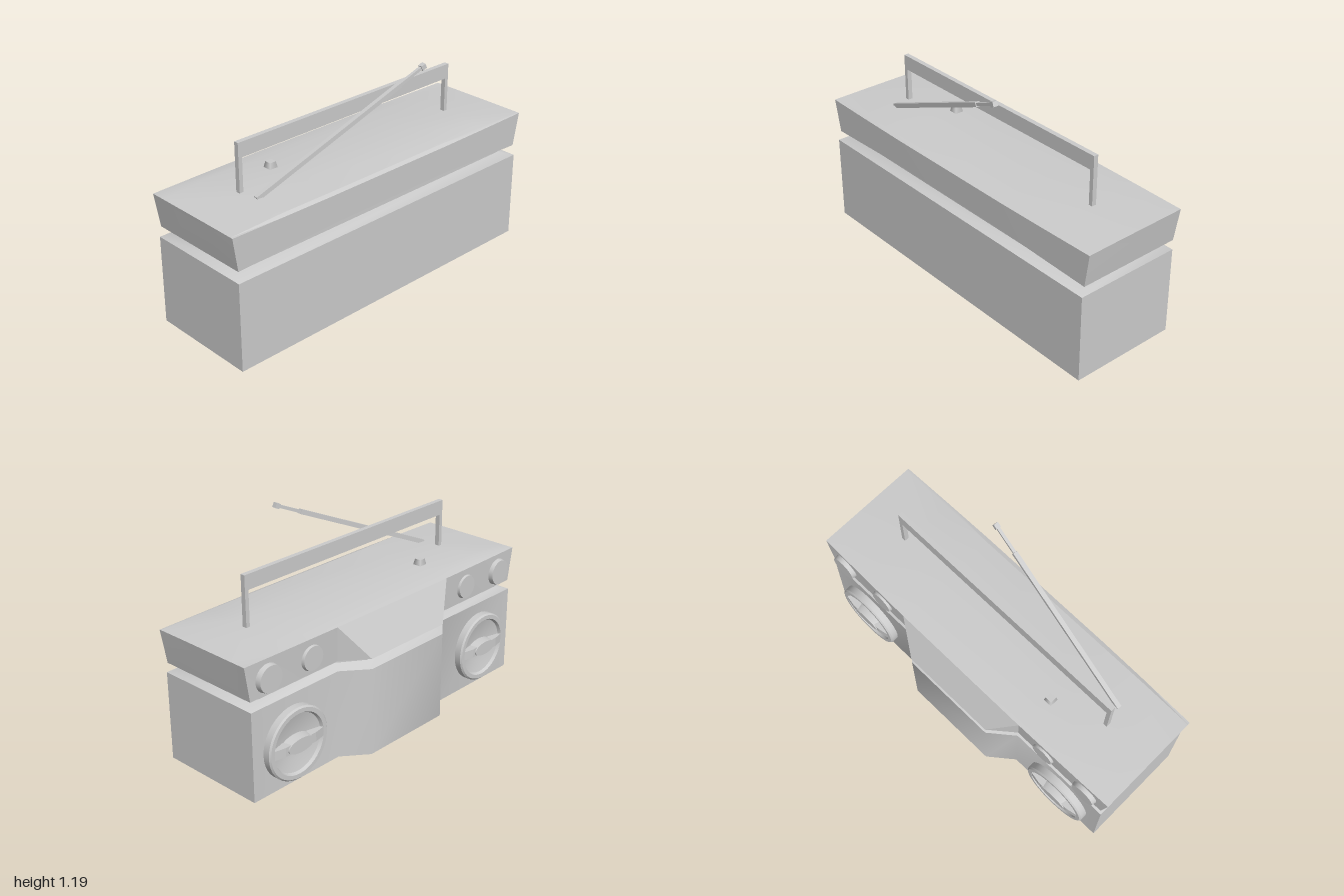
import * as THREE from 'three';
import { toCreasedNormals } from 'three/addons/utils/BufferGeometryUtils.js';
import { ConvexGeometry } from 'three/addons/geometries/ConvexGeometry.js';

const material = new THREE.MeshStandardMaterial({ color: 0xcccccc });

function add(parent, name, geometry, x = 0, y = 0, z = 0) {
  const mesh = new THREE.Mesh(geometry, material);
  mesh.name = name;
  mesh.position.set(x, y, z);
  parent.add(mesh);
  return mesh;
}

// Joins equal-length closed rings of [x, y, z] and caps both ends
function loft(rings, crease) {
  const n = rings[0].length, last = rings.length - 1;
  const points = [], index = [];
  rings.forEach(r => r.forEach(p => points.push(...p)));
  for (let i = 0; i < last; i++) {
    for (let j = 0; j < n; j++) {
      const a = i * n + j, b = i * n + (j + 1) % n;
      index.push(a, b, b + n, a, b + n, a + n);
    }
  }
  for (const i of [0, last]) {
    const centre = points.length / 3;
    points.push(...[0, 1, 2].map(k => rings[i].reduce((s, p) => s + p[k], 0) / n));
    for (let j = 0; j < n; j++) {
      const a = i * n + j, b = i * n + (j + 1) % n;
      index.push(centre, ...(i === 0 ? [b, a] : [a, b]));
    }
  }
  const g = new THREE.BufferGeometry();
  g.setAttribute('position', new THREE.Float32BufferAttribute(points, 3));
  g.setIndex(index);
  return toCreasedNormals(g, crease);
}

// Horizontal outline of the cabinet with its central bulge on the -z side
function outline(y, left, right, front, back, bulge, wide, narrow) {
  return [
    [left, y, front], [left, y, back], [wide, y, back], [narrow, y, bulge],
    [-narrow, y, bulge], [-wide, y, back], [right, y, back], [right, y, front],
  ];
}

// Cross-section of the upper deck at one x
function deckSection([x, bottomFront, top, bow]) {
  const xb = Math.abs(x) === 1 ? x * 0.97 : x;
  return [
    [xb, bottomFront, 0.338 + bow], [xb, 0.535, -0.248],
    [x, 0.722, -0.25 - bow], [x, top, -0.17], [x, top, 0.14],
    [x, (top + 0.72) / 2, 0.33], [x, 0.72, 0.343 + bow],
  ];
}

// Square rod between two points
function rod(parent, name, from, to, size) {
  const dir = to.clone().sub(from);
  const mid = from.clone().add(to).multiplyScalar(0.5);
  const mesh = add(parent, name, new THREE.BoxGeometry(size, size, dir.length()), mid.x, mid.y, mid.z);
  mesh.lookAt(to);
}

function speaker(x) {
  const g = new THREE.Group();
  g.name = 'speaker';
  // Raised rim and shallow cone
  const profile = [[0.193, -0.01], [0.193, 0.036], [0.185, 0.044], [0.163, 0.044], [0.155, 0.028], [0.09, 0.012], [0, 0.008]]
    .map(p => new THREE.Vector2(...p));
  add(g, 'speakerCone', toCreasedNormals(new THREE.LatheGeometry(profile, 40).rotateX(-Math.PI / 2), 0.5));
  // Cross bar that rises towards its centre
  const bar = new THREE.Shape([[-0.165, 0.01], [0.165, 0.01], [0.165, 0.042], [0.1, 0.055], [-0.1, 0.055], [-0.165, 0.042]]
    .map(p => new THREE.Vector2(...p)));
  add(g, 'speakerBar', new THREE.ExtrudeGeometry(bar, { depth: 0.05, bevelEnabled: false })
    .translate(0, 0, -0.025).rotateX(-Math.PI / 2));
  // Oval centre cap
  add(g, 'speakerCap', new THREE.CylinderGeometry(0.085, 0.095, 0.052, 32)
    .scale(1, 1, 0.44).rotateX(-Math.PI / 2), 0, 0, -0.034);
  g.position.set(x, 0.227, -0.25);
  return g;
}

export function createModel() {
  const model = new THREE.Group();
  model.name = 'portableStereo';

  // Lower cabinet with chamfered shoulder and narrow neck
  add(model, 'cabinet', loft([
    outline(0, 0.97, -0.98, 0.35, -0.25, -0.355, 0.4, 0.27),
    outline(0.48, 0.97, -0.98, 0.35, -0.25, -0.355, 0.4, 0.27),
    outline(0.505, 0.89, -0.905, 0.295, -0.21, -0.302, 0.38, 0.25),
    outline(0.57, 0.89, -0.905, 0.295, -0.21, -0.302, 0.38, 0.25),
  ], 0.75));

  // Upper deck: x, lower edge height, crown height, outward bow
  add(model, 'upperDeck', loft([
    [-1, 0.535, 0.722, 0], [-0.7, 0.55, 0.742, 0.006], [-0.4, 0.565, 0.738, 0.01],
    [0.4, 0.565, 0.738, 0.01], [0.7, 0.55, 0.733, 0.006], [1, 0.535, 0.722, 0],
  ].map(deckSection), 0.3));

  // Sloping control panel
  const panel = [];
  for (const s of [-1, 1]) {
    panel.push(
      new THREE.Vector3(s * 0.41, 0.722, -0.26), new THREE.Vector3(s * 0.27, 0.535, -0.355),
      new THREE.Vector3(s * 0.4, 0.535, -0.248), new THREE.Vector3(s * 0.4, 0.535, -0.2),
      new THREE.Vector3(s * 0.41, 0.722, -0.2));
  }
  add(model, 'controlPanel', new ConvexGeometry(panel));

  // Speakers and the round dials above them
  for (const s of [-1, 1]) {
    model.add(speaker(s * 0.71));
    for (const [x, r, depth] of [[0.86, 0.075, 0.03], [0.58, 0.068, 0.022]]) {
      add(model, 'dial', new THREE.CylinderGeometry(r * 0.92, r, depth, 28).rotateX(-Math.PI / 2),
        s * x, 0.622, -0.246 - depth / 2);
    }
  }

  // Carrying handle
  const handle = new THREE.Group();
  handle.name = 'handle';
  add(handle, 'handleGrip', new THREE.BoxGeometry(1.45, 0.08, 0.026), 0, 0.962, 0.048);
  for (const s of [-1, 1]) {
    add(handle, 'handleLeg', new THREE.BoxGeometry(0.022, 0.2, 0.026), s * 0.714, 0.823, 0.048);
  }
  model.add(handle);

  // Telescopic antenna
  const base = new THREE.Vector3(-0.7, 0.738, 0.15);
  const tip = new THREE.Vector3(0.29, 1.175, 0.283);
  const at = t => base.clone().lerp(tip, t);
  rod(model, 'antennaLower', base, at(0.845), 0.024);
  rod(model, 'antennaUpper', at(0.84), at(0.98), 0.016);
  rod(model, 'antennaTip', at(0.975), at(1), 0.026);

  // Tapered push button
  add(model, 'button', new THREE.CylinderGeometry(0.026, 0.036, 0.036, 4, 1).rotateY(Math.PI / 4).toNonIndexed(),
    -0.433, 0.752, -0.057);

  return model;
}
